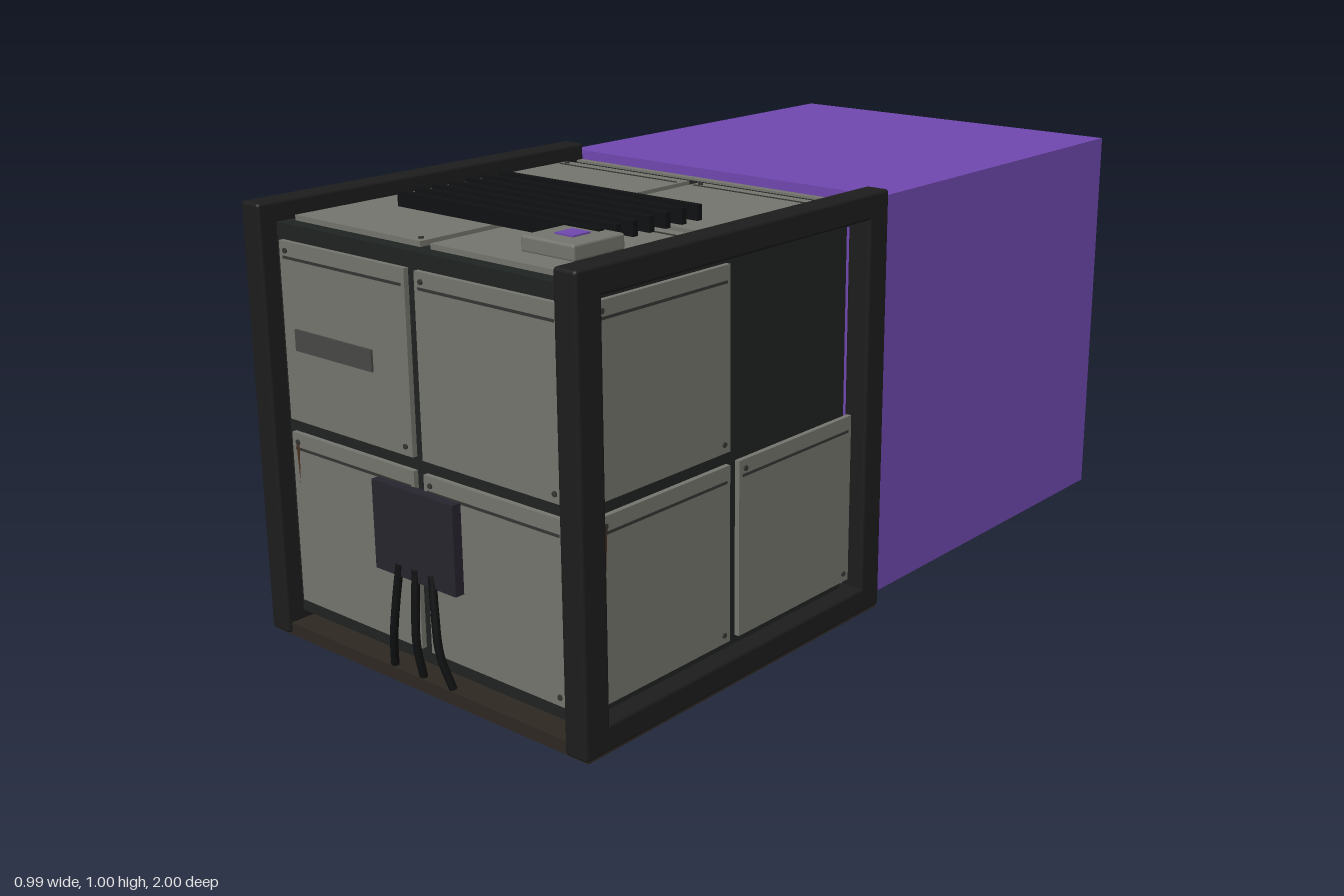
import * as THREE from 'three';
import { RoundedBoxGeometry } from 'three/addons/geometries/RoundedBoxGeometry.js';

const mat = (color) => new THREE.MeshStandardMaterial({ color });
const frameMat = mat(0x1c1d1c), coreMat = mat(0x1f2322), panelMat = mat(0x74756d), grooveMat = mat(0x343633);
const plateMat = mat(0x484946), purpleMat = mat(0x7048b0), floorMat = mat(0x2e2822);
const boxMat = mat(0x27252e), cableMat = mat(0x101112), rustMat = mat(0x4a3022);

function add(parent, name, geometry, material, x = 0, y = 0, z = 0) {
  const mesh = new THREE.Mesh(geometry, material);
  mesh.name = name;
  mesh.position.set(x, y, z);
  parent.add(mesh);
  return mesh;
}
const box = (parent, name, material, w, h, d, x, y, z) =>
  add(parent, name, new THREE.BoxGeometry(w, h, d), material, x, y, z);

function tube(parent, name, points, radius) {
  const curve = new THREE.CatmullRomCurve3(points.map((p) => new THREE.Vector3(...p)));
  add(parent, name, new THREE.TubeGeometry(curve, 16, radius, 8), cableMat);
}

// One armour panel with a groove and two rivets, facing local +z
function panel(parent, x, y) {
  const g = new THREE.Group();
  g.name = 'armourPanel';
  g.position.set(x, y, 0.456);
  parent.add(g);
  box(g, 'panelPlate', panelMat, 0.4, 0.4, 0.012, 0, 0, 0);
  box(g, 'panelGroove', grooveMat, 0.378, 0.006, 0.002, 0, 0.165, 0.0065);
  for (const s of [-1, 1]) {
    const rivet = add(g, 'rivet', new THREE.CylinderGeometry(0.006, 0.006, 0.004, 10), grooveMat, s * 0.18, -s * 0.18, 0.0075);
    rivet.rotation.x = Math.PI / 2;
  }
}

// A wall of four panels; missing lists the bays left bare
function wall(parent, name, rx, ry, missing = []) {
  const g = new THREE.Group();
  g.name = name;
  g.position.set(0, 0.5, 0.5);
  g.rotation.set(rx, ry, 0);
  parent.add(g);
  for (const i of [-1, 1]) for (const j of [-1, 1])
    if (!missing.includes(`${i},${j}`)) panel(g, i * 0.215, j * 0.215);
  return g;
}

// Rust streak tapering downward from a rivet
function rust(g) {
  const streak = add(g, 'rustStreak', new THREE.ConeGeometry(0.006, 0.1, 8), rustMat, -0.396, -0.083, 0.463);
  streak.rotation.x = Math.PI;
  streak.scale.z = 0.3;
}

export function createModel() {
  const model = new THREE.Group();
  model.name = 'containerModule';

  // Rear volume
  box(model, 'rearVolume', purpleMat, 0.95, 0.95, 1, 0, 0.5, -0.5);

  // Dark core and floor
  box(model, 'core', coreMat, 0.9, 0.9, 0.85, 0, 0.5, 0.525);
  box(model, 'floor', floorMat, 0.98, 0.03, 0.975, 0, 0.015, 0.4975);

  // Square ring frame on each side
  for (const s of [-1, 1]) {
    const ring = new THREE.Group();
    ring.name = 'sideFrame';
    ring.position.set(s * 0.465, 0.5, 0.5);
    model.add(ring);
    for (const t of [-1, 1]) {
      add(ring, 'post', new RoundedBoxGeometry(0.06, 0.99, 0.07, 2, 0.008), frameMat, 0, 0, t * 0.46);
      add(ring, 'rail', new RoundedBoxGeometry(0.06, 0.06, 0.99, 2, 0.008), frameMat, 0, t * 0.465, 0);
    }
  }

  // Cross beams above the rear opening
  box(model, 'rearBeam', frameMat, 0.88, 0.035, 0.07, 0, 0.9325, 0.065);
  box(model, 'rearLintel', panelMat, 0.87, 0.03, 0.02, 0, 0.94, 0.02);

  // Panelled walls and roof
  const front = wall(model, 'frontWall', 0, 0);
  const left = wall(model, 'leftWall', 0, Math.PI / 2, ['1,1']);
  wall(model, 'rightWall', 0, -Math.PI / 2, ['1,1', '1,-1']);
  wall(model, 'roof', -Math.PI / 2, 0);
  rust(front);
  rust(left);

  // Front fittings: label plate, junction box and its cables
  box(model, 'labelPlate', plateMat, 0.25, 0.048, 0.006, -0.25, 0.702, 0.964);
  box(model, 'junctionBox', boxMat, 0.248, 0.2, 0.025, 0, 0.35, 0.9725);
  for (const s of [-1, 0, 1])
    tube(model, 'frontCable', [[s * 0.05, 0.278, 0.982], [s * 0.06, 0.2, 0.988], [s * 0.072, 0.11, 0.99], [s * 0.092, 0.03, 0.975]], 0.009);

  // Roof cooling fins
  for (let i = 0; i < 7; i++)
    box(model, 'coolingFin', cableMat, 0.6, 0.034, 0.015, 0, 0.983, 0.42 + i * 0.05);

  // Roof sensor with coloured lens
  add(model, 'sensorBase', new RoundedBoxGeometry(0.146, 0.035, 0.146, 2, 0.006), panelMat, 0.273, 0.977, 0.773);
  box(model, 'sensorLens', purpleMat, 0.05, 0.004, 0.05, 0.273, 0.996, 0.773);

  // Short cables bridging the core and the rear volume
  for (const [x, y] of [[0.06, 0.81], [-0.06, 0.19]])
    tube(model, 'rearCable', [[x - 0.02, y, 0.1], [x, y + 0.01, 0.06], [x + 0.02, y, -0.002]], 0.009);

  return model;
}
